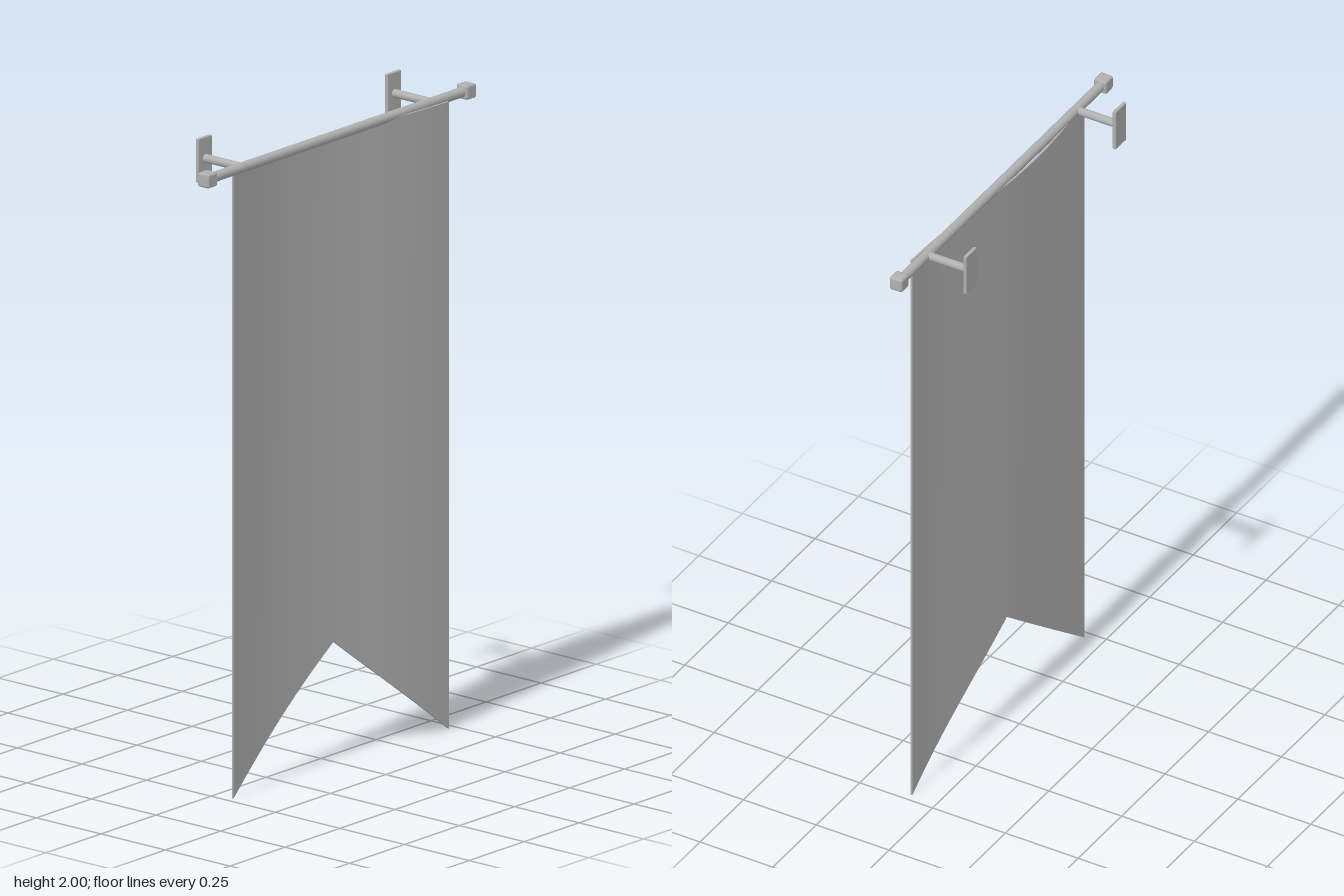
import * as THREE from 'three';
import { RoundedBoxGeometry } from 'three/addons/geometries/RoundedBoxGeometry.js';

const grey = new THREE.MeshStandardMaterial({ color: 0xb0b0b0 });
grey.name = 'plain grey';

const ROD_Y = 1.935, ROD_Z = 0.062;

function add(parent, name, geometry, x, y, z) {
  const mesh = new THREE.Mesh(geometry, grey);
  mesh.name = name;
  mesh.position.set(x, y, z);
  parent.add(mesh);
  return mesh;
}

// Hanging cloth: a thin slab with a wavy section and a swallowtail bottom
function clothGeometry() {
  const half = 0.475, top = 1.933, notch = 0.37;
  const geo = new THREE.BoxGeometry(half * 2, 1, 0.006, 24, 1, 1);
  const p = geo.attributes.position;
  for (let i = 0; i < p.count; i++) {
    const x = p.getX(i);
    const wave = -0.024 * Math.sin(1.5 * Math.PI * (x + half) / (2 * half));
    p.setY(i, p.getY(i) > 0 ? top : notch * (1 - Math.abs(x) / half));
    p.setZ(i, p.getZ(i) + wave);
  }
  geo.computeVertexNormals();
  return geo;
}

export function createModel() {
  const model = new THREE.Group();
  model.name = 'wallBanner';

  add(model, 'cloth', clothGeometry(), 0, 0, ROD_Z + 0.001);

  // Horizontal rod
  const rod = new THREE.CylinderGeometry(0.0155, 0.0155, 1.16, 16);
  rod.rotateZ(Math.PI / 2);
  add(model, 'rod', rod, 0, ROD_Y, ROD_Z);

  // End knobs and wall brackets, mirrored
  const arm = new THREE.CylinderGeometry(0.013, 0.013, 0.158, 12);
  arm.rotateX(Math.PI / 2);
  for (const [side, s] of [['left', 1], ['right', -1]]) {
    add(model, side + 'Knob', new RoundedBoxGeometry(0.045, 0.045, 0.045, 1, 0.008), s * 0.588, ROD_Y, ROD_Z);
    const bracket = new THREE.Group();
    bracket.name = side + 'Bracket';
    add(bracket, 'arm', arm, s * 0.43, ROD_Y, -0.007);
    add(bracket, 'wallPlate', new RoundedBoxGeometry(0.062, 0.135, 0.012, 1, 0.003), s * 0.43, 1.9325, -0.087);
    model.add(bracket);
  }
  return model;
}
